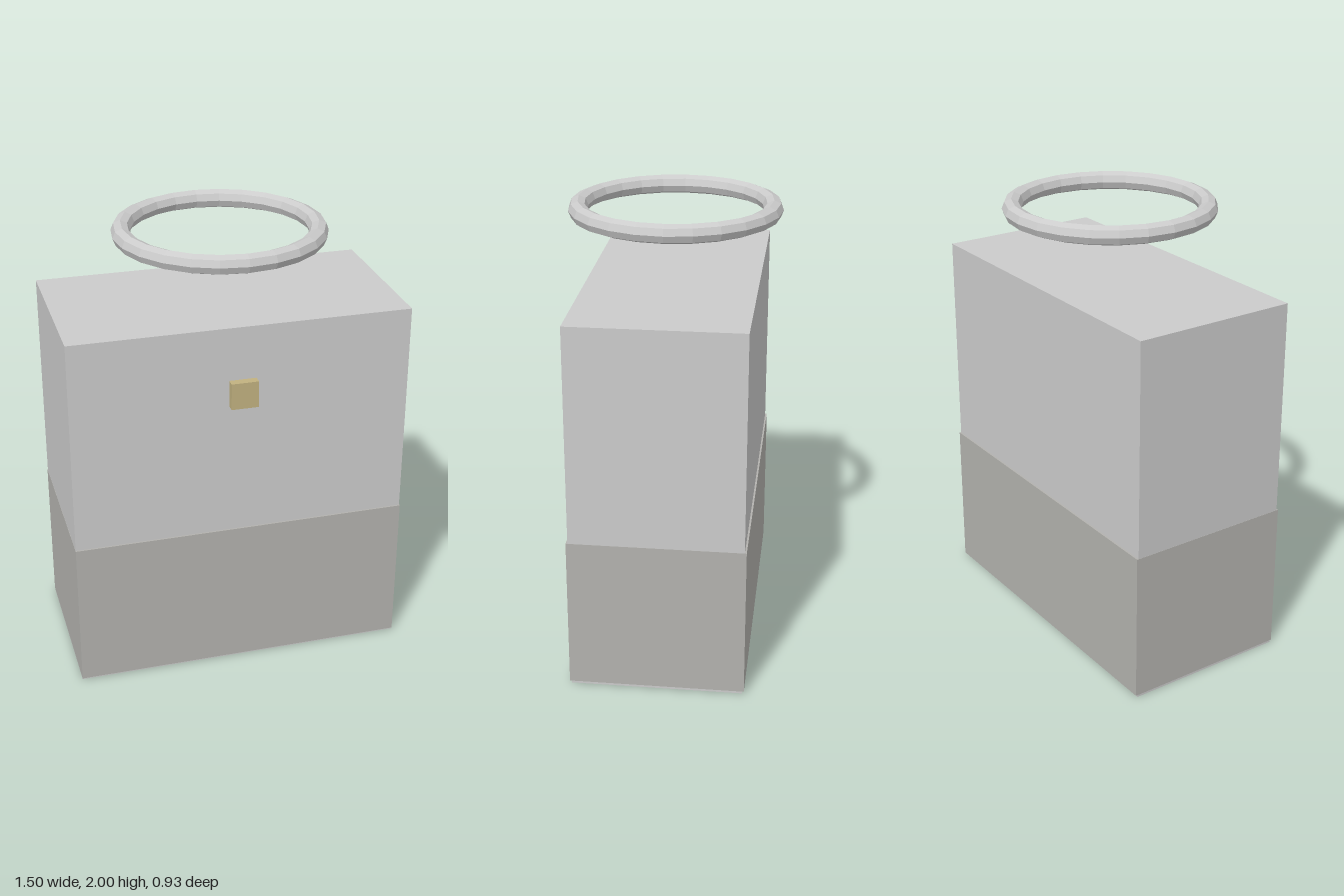
import * as THREE from 'three';

const material = (color, flatShading = false) => new THREE.MeshStandardMaterial({ color, flatShading });

// Box spanning y0..y1 and z0..z1, centred on x
function slab(name, width, y0, y1, z0, z1, mat) {
  const mesh = new THREE.Mesh(new THREE.BoxGeometry(width, y1 - y0, z1 - z0), mat);
  mesh.position.set(0, (y0 + y1) / 2, (z0 + z1) / 2);
  mesh.name = name;
  return mesh;
}

export function createModel() {
  const model = new THREE.Group();
  model.name = 'bag';
  const grey = material(0xcccccc);

  // Main body, with a darker band wrapped round its lower part
  model.add(slab('body', 1.5, 0, 1.66, -0.375, 0.375, grey));
  model.add(slab('lowerBand', 1.502, 0.01, 0.69, -0.383, 0.383, material(0xb3b2ae)));

  // Square clasp on the front
  model.add(slab('clasp', 0.12, 1.3, 1.42, 0.375, 0.413, material(0xc2b280)));

  // Ring handle lying flat above the body
  const handle = new THREE.Mesh(new THREE.TorusGeometry(0.425, 0.042, 8, 24), material(0xcccccc, true));
  handle.rotation.x = Math.PI / 2;
  handle.position.y = 1.958;
  handle.name = 'handle';
  model.add(handle);

  return model;
}
